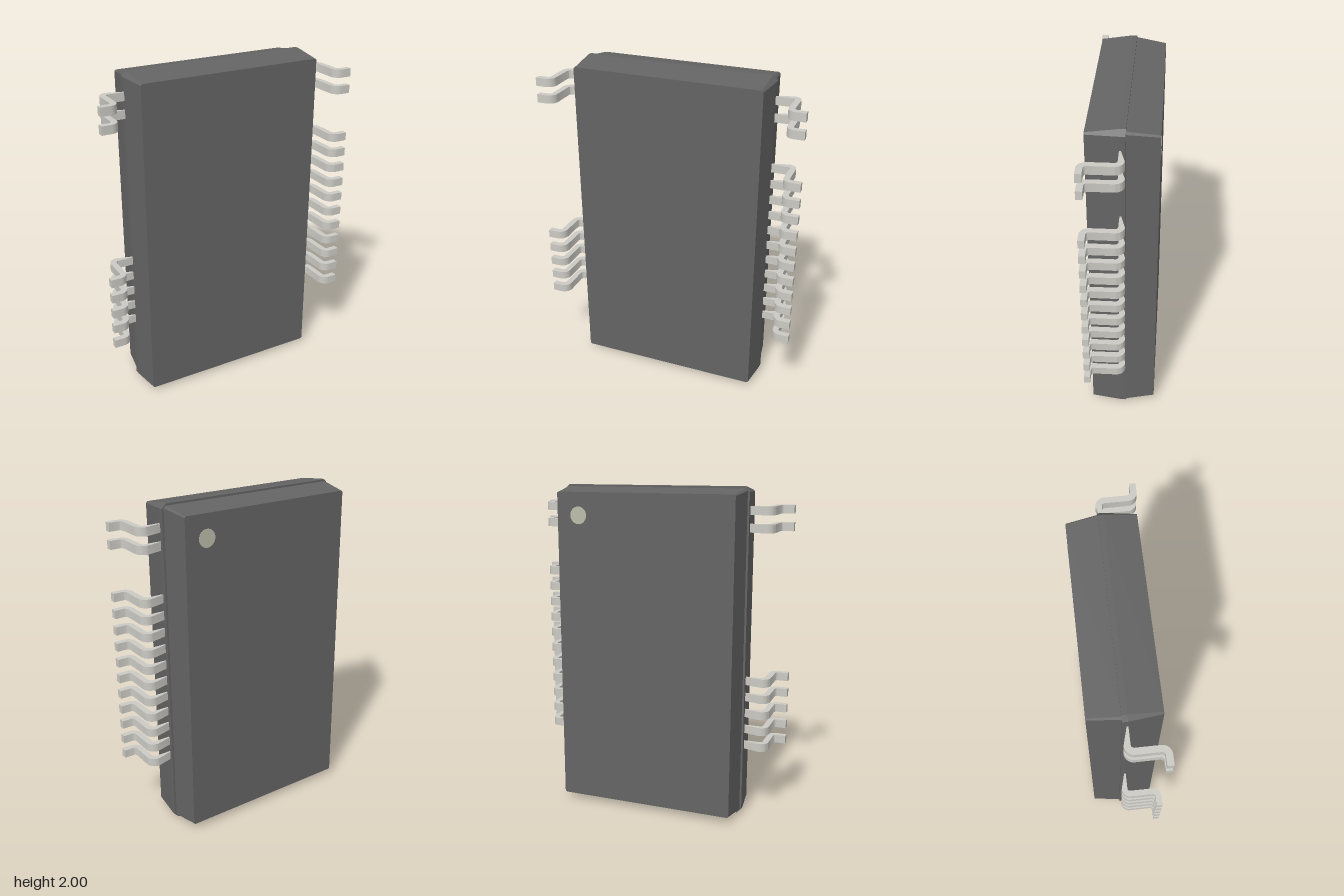
import * as THREE from 'three';
import { toCreasedNormals } from 'three/addons/utils/BufferGeometryUtils.js';

const bodyMat = new THREE.MeshStandardMaterial({ color: 0x646464 });
const pinMat = new THREE.MeshStandardMaterial({ color: 0xcbcac4 });
const dotMat = new THREE.MeshStandardMaterial({ color: 0xbcbcaa });

// Rectangle with cut corners, counter-clockwise seen from +z
function section({ z, w, h, c }) {
  return [
    [w, -h + c], [w, h - c], [w - c, h], [-w + c, h],
    [-w, h - c], [-w, -h + c], [-w + c, -h], [w - c, -h],
  ].map(([x, y]) => new THREE.Vector3(x, y + 1, z));
}

// Closed, faceted loft through sections ordered from back to front
function loft(sections) {
  const rings = sections.map(section);
  const n = rings[0].length;
  const points = [];
  for (let r = 0; r + 1 < rings.length; r++) {
    const a = rings[r], b = rings[r + 1];
    for (let i = 0; i < n; i++) {
      const j = (i + 1) % n;
      points.push(a[i], a[j], b[j], a[i], b[j], b[i]);
    }
  }
  const back = rings[0], front = rings[rings.length - 1];
  for (let i = 1; i + 1 < n; i++) {
    points.push(back[0], back[i + 1], back[i], front[0], front[i], front[i + 1]);
  }
  const geo = new THREE.BufferGeometry().setFromPoints(points);
  geo.computeVertexNormals();
  return geo;
}

// Gull-wing lead: outline in x and z, extruded along y
function pinGeometry(side) {
  const s = new THREE.Shape();
  const q = Math.PI / 2, R = 0.052, r = 0.017;
  const x0 = 0.55, xi = 0.694, xo = 0.73, xe = 0.803;
  const zt = -0.032, zu = 0.003, zf = 0.167, zb = 0.203;
  s.moveTo(x0, zt);
  s.absarc(xo - R, zt + R, R, -q, 0, false);
  s.absarc(xo + r, zf - r, r, 2 * q, q, true);
  s.lineTo(xe, zf);
  s.lineTo(xe, zb);
  s.absarc(xi + R, zb - R, R, q, 2 * q, false);
  s.absarc(xi - r, zu + r, r, 0, -q, true);
  s.lineTo(x0, zu);
  const outline = s.getPoints(8).map((p) => new THREE.Vector2(p.x * side, p.y));
  const geo = new THREE.ExtrudeGeometry(new THREE.Shape(outline), { depth: 0.05, bevelEnabled: false });
  geo.translate(0, 0, -0.025);
  geo.rotateX(Math.PI / 2);
  return toCreasedNormals(geo, 0.6);
}

export function createModel() {
  const model = new THREE.Group();
  model.name = 'chipPackage';
  const add = (parent, geo, mat, name) => {
    const mesh = new THREE.Mesh(geo, mat);
    mesh.name = name;
    parent.add(mesh);
    return mesh;
  };

  // Moulded body with a small step at the parting line
  add(model, loft([
    { z: -0.205, w: 0.55, h: 0.962, c: 0.008 },
    { z: -0.03, w: 0.572, h: 0.988, c: 0.012 },
    { z: -0.03, w: 0.584, h: 1, c: 0.028 },
    { z: 0, w: 0.584, h: 1, c: 0.028 },
    { z: 0.18, w: 0.562, h: 0.974, c: 0.009 },
  ]), bodyMat, 'body');

  // Marker dot on the back face
  const dot = add(model, new THREE.CylinderGeometry(0.052, 0.052, 0.004, 32), dotMat, 'markerDot');
  dot.rotation.x = Math.PI / 2;
  dot.position.set(0.413, 1.825, -0.205);

  // Leads, on evenly spaced slots with gaps
  const rows = [
    ['leftPins', 1, [0, 1, 2, 3, 4, 5, 6, 7, 8, 9, 10, 13, 14]],
    ['rightPins', -1, [0, 1, 2, 3, 4, 13, 14]],
  ];
  for (const [name, side, slots] of rows) {
    const row = new THREE.Group();
    row.name = name;
    const geo = pinGeometry(side);
    for (const slot of slots) {
      add(row, geo, pinMat, 'pin').position.y = 0.446 + slot * 0.1014;
    }
    model.add(row);
  }
  return model;
}
